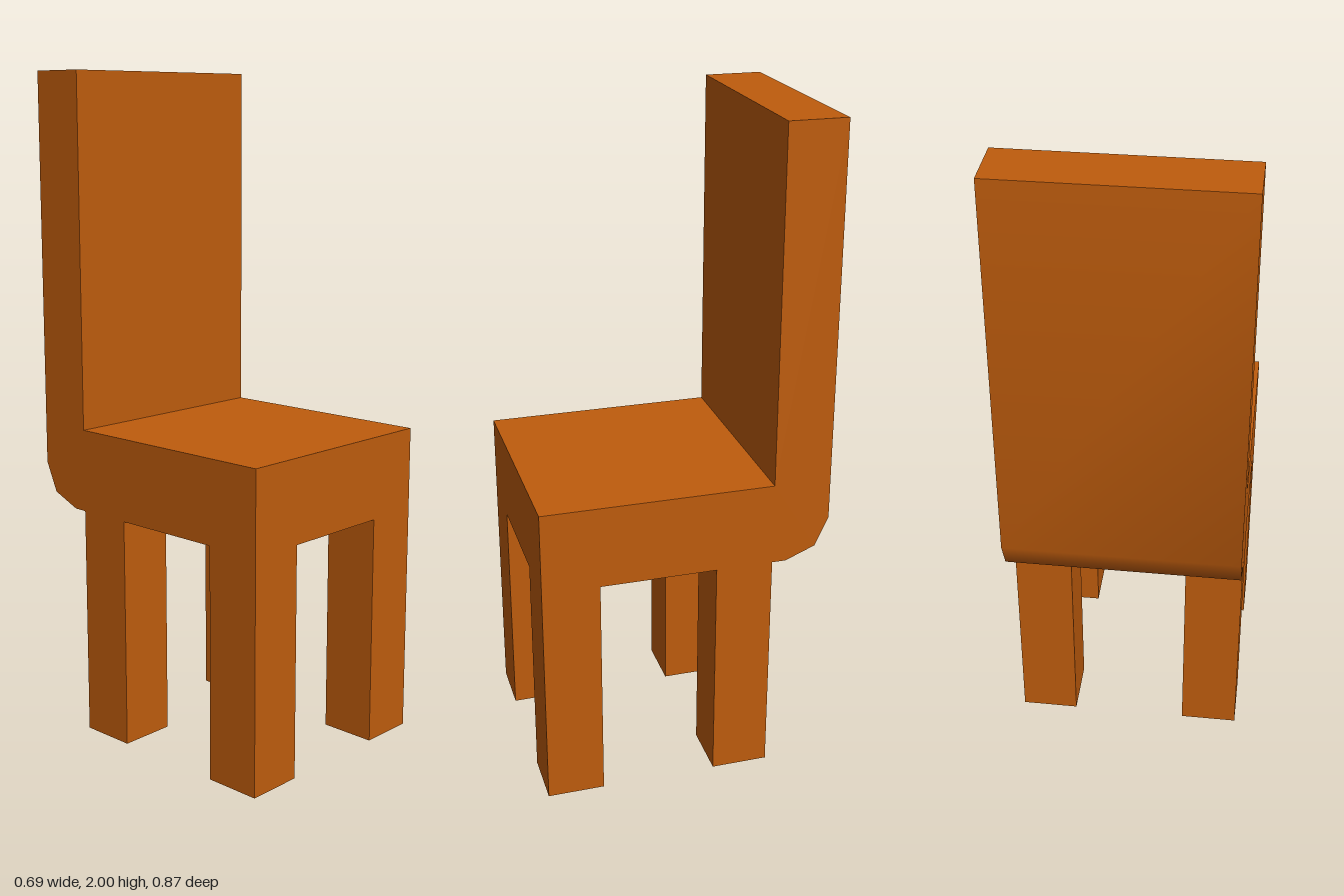
import * as THREE from 'three';
import { toCreasedNormals } from 'three/addons/utils/BufferGeometryUtils.js';

export function createModel() {
  const chair = new THREE.Group();
  chair.name = 'chair';
  const wood = new THREE.MeshStandardMaterial({ color: 0xbe5c0d });

  const halfWidth = 0.347, halfDepth = 0.433;
  const seatBottom = 0.7, seatTop = 0.95, thick = 0.172;

  // Seat and backrest: one L-shaped side profile (z, y) with a rounded lower back corner
  const profile = new THREE.Shape([
    [halfDepth, seatBottom], [halfDepth, seatTop],
    [-halfDepth + thick, seatTop], [-halfDepth + thick, 2], [-halfDepth, 2],
    [-halfDepth, 0.825], [-0.393, 0.737], [-0.303, seatBottom],
  ].reverse().map(([z, y]) => new THREE.Vector2(z, y)));
  const body = new THREE.ExtrudeGeometry(profile, { depth: halfWidth * 2, bevelEnabled: false });
  body.rotateY(-Math.PI / 2).translate(halfWidth, 0, 0);
  const seatAndBack = new THREE.Mesh(toCreasedNormals(body, 0.8), wood);
  seatAndBack.name = 'seatAndBackrest';
  chair.add(seatAndBack);

  // Four square legs; the rear pair stands just ahead of the backrest
  const legGeometry = new THREE.BoxGeometry(thick, seatBottom, thick);
  for (const [end, z] of [['front', halfDepth - thick / 2], ['back', -halfDepth + thick * 1.5]]) {
    for (const [side, sign] of [['Left', 1], ['Right', -1]]) {
      const leg = new THREE.Mesh(legGeometry, wood);
      leg.name = `${end}${side}Leg`;
      leg.position.set(sign * (halfWidth - thick / 2), seatBottom / 2, z);
      chair.add(leg);
    }
  }
  return chair;
}
